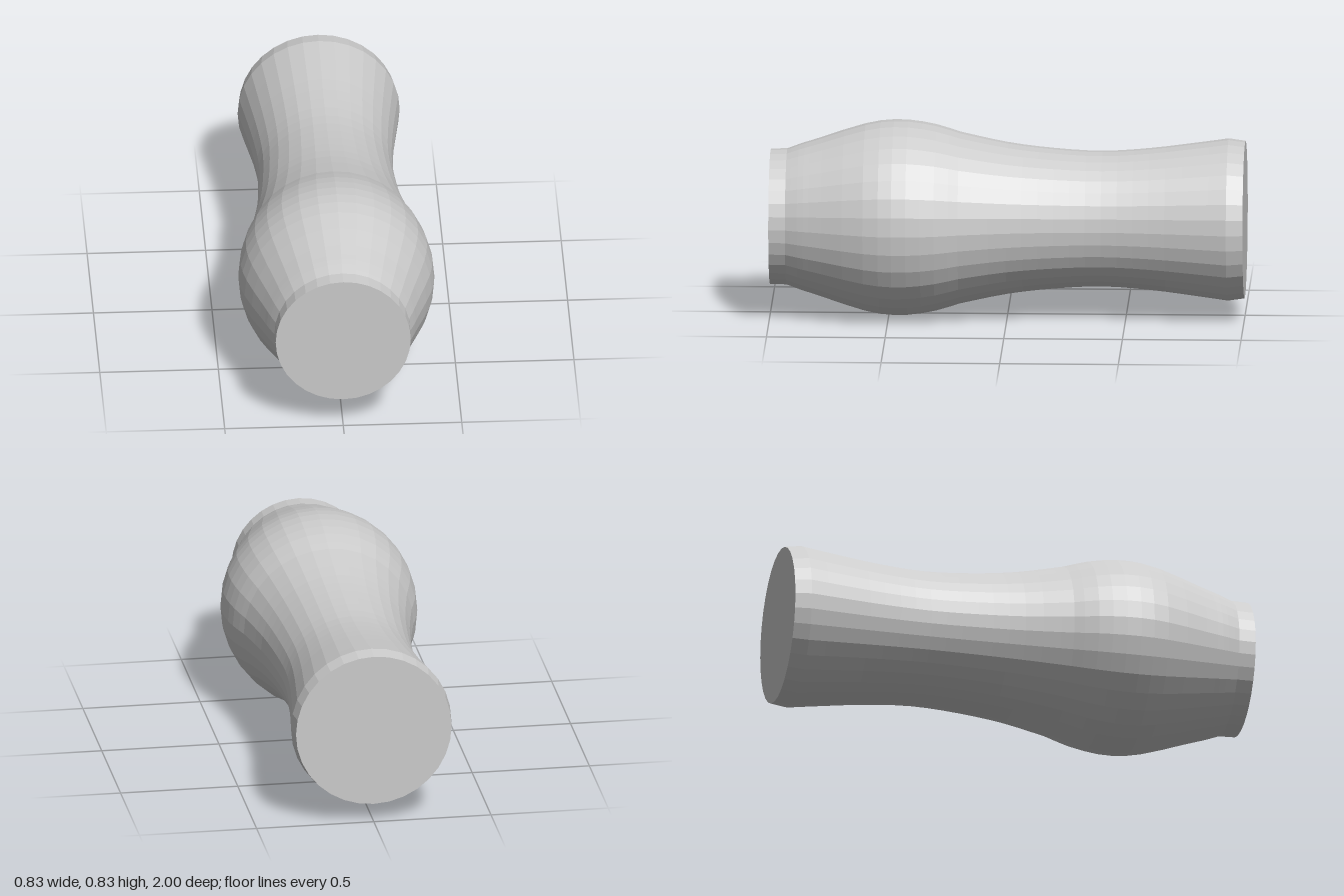
import * as THREE from 'three';

const SIDES = 32;
const AXIS_HEIGHT = 0.413;

// Smooth run of [z, radius] stations
function run(stations, steps) {
  const curve = new THREE.SplineCurve(stations.map(([z, r]) => new THREE.Vector2(r, z)));
  return curve.getPoints(steps);
}

export function createModel() {
  const group = new THREE.Group();
  group.name = 'turnedHandle';

  // Waisted grip, from the flared back rim to the shoulder
  const grip = run([[-0.93, 0.342], [-0.8, 0.324], [-0.6, 0.299], [-0.4, 0.286],
    [-0.2, 0.296], [0, 0.32], [0.2, 0.362]], 18);
  // Round bulge, from the shoulder to the front collar
  const bulge = run([[0.2, 0.362], [0.32, 0.397], [0.46, 0.413], [0.6, 0.395],
    [0.8, 0.331], [0.87, 0.309], [0.93, 0.287]], 14);

  // Full profile, closed by flat end caps
  const profile = [
    new THREE.Vector2(0, -1),
    new THREE.Vector2(0.332, -1),
    ...grip,
    ...bulge.slice(1),
    new THREE.Vector2(0.285, 1),
    new THREE.Vector2(0, 1),
  ];

  const geometry = new THREE.LatheGeometry(profile, SIDES);
  geometry.rotateX(Math.PI / 2); // lay the axis along z
  const body = new THREE.Mesh(
    geometry,
    new THREE.MeshStandardMaterial({ color: 0xcccccc, flatShading: true })
  );
  body.name = 'handleBody';
  body.position.y = AXIS_HEIGHT;
  group.add(body);
  return group;
}
